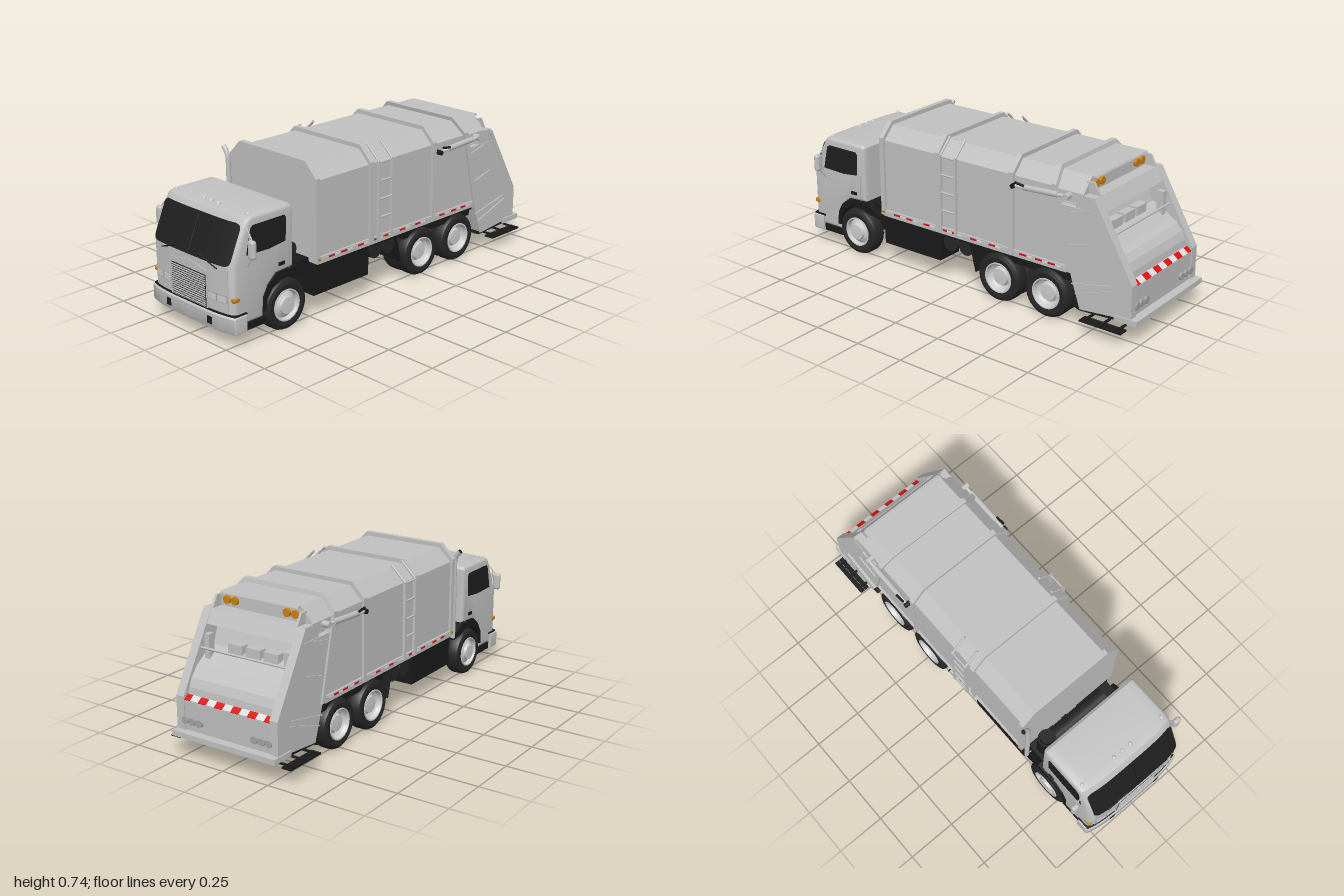
import * as THREE from 'three';
import { toCreasedNormals } from 'three/addons/utils/BufferGeometryUtils.js';
import { ConvexGeometry } from 'three/addons/geometries/ConvexGeometry.js';
import { RoundedBoxGeometry } from 'three/addons/geometries/RoundedBoxGeometry.js';

const mat = (name, color) => Object.assign(new THREE.MeshStandardMaterial({ color }), { name });

export function createModel() {
  const root = new THREE.Group();
  root.name = 'refuseTruck';
  const paint = mat('greyPaint', 0xc0c0c0), rimMat = mat('rimGrey', 0xcccccc), black = mat('chassisBlack', 0x1a1a1a);
  const rubber = mat('tyreRubber', 0x262626), glass = mat('darkGlass', 0x1f1f1f), red = mat('red', 0xdd1111);
  const white = mat('white', 0xdedede), amber = mat('amber', 0xc9800f), trim = mat('trimGrey', 0xa2a2a2);
  glass.side = THREE.DoubleSide;

  const add = (name, geo, material, parent = root) => {
    const m = new THREE.Mesh(geo, material);
    m.name = name;
    parent.add(m);
    return m;
  };
  const shapeOf = pts => new THREE.Shape(pts.map(p => new THREE.Vector2(...p)));
  // moves vertices by a rule
  const warp = (geo, rule) => {
    const p = geo.attributes.position, v = new THREE.Vector3();
    for (let i = 0; i < p.count; i++) {
      rule(v.fromBufferAttribute(p, i));
      p.setXYZ(i, v.x, v.y, v.z);
    }
    geo.computeVertexNormals();
    return geo;
  };
  // rounds the nose of the cab back towards its corners
  const bow = geo => warp(geo, v => { v.z -= 3.5 * v.x ** 4 * THREE.MathUtils.clamp((v.z - 0.8) / 0.1, 0, 1); });
  const boxGeo = (x, y, z, w, h, d, seg = 1) => new THREE.BoxGeometry(w, h, d, seg).translate(x, y, z);
  const box = (name, x, y, z, w, h, d, m) => add(name, boxGeo(x, y, z, w, h, d), m);
  const noseBox = (name, x, y, z, w, h, d, m) => add(name, bow(boxGeo(x, y, z, w, h, d, 14)), m);
  // extrudes a (z, y) outline across x
  const sideGeo = (pts, width, x = 0, bevel = 0, steps = 1) => {
    const depth = width - 2 * bevel;
    return new THREE.ExtrudeGeometry(shapeOf(pts), {
      depth, steps, bevelEnabled: bevel > 0, bevelSize: bevel, bevelThickness: bevel, bevelOffset: -bevel, bevelSegments: 3,
    }).translate(0, 0, -depth / 2).rotateY(-Math.PI / 2).translate(x, 0, 0);
  };
  const rod = (name, a, b, r, m) => {
    const A = new THREE.Vector3(...a), B = new THREE.Vector3(...b), d = B.clone().sub(A);
    const g = new THREE.CylinderGeometry(r, r, d.length(), r > 0.015 ? 24 : 10);
    g.applyQuaternion(new THREE.Quaternion().setFromUnitVectors(new THREE.Vector3(0, 1, 0), d.normalize()));
    return add(name, g.translate(...A.add(B).multiplyScalar(0.5).toArray()), m);
  };
  // convex block from (x, y, z) corners mirrored left and right
  const hull = (name, pts) => add(name, new ConvexGeometry(
    pts.flatMap(([x, y, z]) => [new THREE.Vector3(x, y, z), new THREE.Vector3(-x, y, z)])), paint);

  // Cargo body with slanted rear end
  const section = (hw, top, rw, sh, y0) => shapeOf([[-hw, y0], [hw, y0], [hw, sh], [rw, top], [-rw, top], [-hw, sh]]);
  const slant = y => -0.535 - (0.72 - y) * 0.235;
  const bodyGeo = new THREE.ExtrudeGeometry(section(0.28, 0.72, 0.215, 0.655, 0.27), { depth: 1, bevelEnabled: false });
  add('cargoBody', warp(bodyGeo, v => { v.z = v.z > 0.5 ? 0.48 : slant(v.y); }), paint);
  const ribGeo = () => new THREE.ExtrudeGeometry(section(0.292, 0.74, 0.222, 0.668, 0.265), { depth: 0.026, bevelEnabled: false });
  for (const z of [0.465, 0.115, -0.325]) add('bodyRib', ribGeo().translate(0, 0, z), paint);
  add('rearRib', warp(ribGeo(), v => { v.z += slant(v.y) - 0.013; }), paint);
  box('sill', 0, 0.27, -0.07, 0.574, 0.024, 1.1, paint);
  box('sillLedge', 0, 0.289, -0.07, 0.582, 0.006, 1.1, paint);

  // Tailgate: chamfered head with lamp recess, hopper and packer
  hull('tailgateHead', [[0.215, 0.72, -0.54], [0.215, 0.72, -0.7], [0.28, 0.65, -0.55], [0.28, 0.65, -0.7],
    [0.28, 0.6, -0.56], [0.28, 0.6, -0.7]]);
  hull('roofLip', [[0.215, 0.72, -0.69], [0.215, 0.72, -0.717], [0.215, 0.712, -0.69], [0.215, 0.712, -0.721]]);
  hull('rearPanel', [[0.28, 0.645, -0.66], [0.28, 0.645, -0.757], [0.28, 0.58, -0.66], [0.28, 0.58, -0.794]]);
  add('hopper', sideGeo([[-0.64, 0.26], [-0.695, 0.1], [-0.958, 0.12], [-0.962, 0.268], [-0.935, 0.288], [-0.66, 0.288]], 0.52), paint);
  add('packerPanel', sideGeo([[-0.58, 0.585], [-0.69, 0.585], [-0.735, 0.465], [-0.775, 0.455], [-0.845, 0.405], [-0.88, 0.39],
    [-0.908, 0.36], [-0.925, 0.32], [-0.93, 0.28], [-0.64, 0.28]], 0.51), paint);
  add('tailgateFloor', sideGeo([[-0.66, 0.1], [-0.69, 0.088], [-0.99, 0.104], [-0.96, 0.124]], 0.56), black);
  rod('packerBar', [-0.25, 0.48, -0.835], [0.25, 0.48, -0.835], 0.006, paint);
  for (const x of [-0.1, 0, 0.1]) box('packerBlock', x, 0.475, -0.75, 0.08, 0.05, 0.04, paint);
  box('rearBumper', 0, 0.114, -0.94, 0.58, 0.026, 0.12, paint);
  for (let i = 0; i < 11; i++) {
    const stripe = add('rearStripe', new THREE.BoxGeometry(0.046, 0.032, 0.005), i % 2 ? white : red);
    stripe.position.set((i - 5) * 0.046, 0.28, -0.949);
    stripe.rotation.x = 0.93;
  }

  // Wheels: tyre and rim turned about the axle
  const turned = (pts, s, x, z) => new THREE.LatheGeometry(pts.map(p => new THREE.Vector2(...p)), 36)
    .rotateZ(-s * Math.PI / 2).translate(s * x, 0.12, z);
  const wheel = (s, x, z, dish) => {
    const g = new THREE.Group();
    g.name = 'wheel';
    root.add(g);
    add('tyre', toCreasedNormals(turned([[0.001, -0.03], [0.07, -0.034], [0.1, -0.041], [0.115, -0.034], [0.121, -0.022],
      [0.121, 0.022], [0.115, 0.034], [0.1, 0.041], [0.074, 0.036]], s, x, z), 0.6), rubber, g);
    add('rim', toCreasedNormals(turned([[0.076, 0.034], [0.076, 0.041], [0.07, 0.041], [0.064, 0.02], [0.05, dish],
      [0.043, dish + 0.004], [0.04, dish + 0.016], [0.001, dish + 0.018]], s, x, z), 0.5), rimMat, g);
  };

  // Cab shell with front arch and black floor
  const cab = [[0.615, 0.29], [0.615, 0.575], [0.63, 0.588], [0.86, 0.588], [0.893, 0.579], [0.91, 0.556], [0.985, 0.385],
    [0.985, 0.1], [0.8, 0.1], [0.79, 0.19], [0.765, 0.24], [0.72, 0.28]];
  add('cab', toCreasedNormals(bow(sideGeo(cab, 0.552, 0, 0.02, 14)), 0.55), paint);
  noseBox('cabFloor', 0, 0.085, 0.88, 0.55, 0.035, 0.19, black);
  box('cabBelly', 0, 0.17, 0.66, 0.36, 0.1, 0.28, black);
  // Windscreen with rounded corners, laid on the slope
  const screen = warp(new THREE.PlaneGeometry(2, 1, 24, 28), v => {
    const t = v.y + 0.5, r = 0.14, e = Math.max(0, Math.abs(v.y) - 0.5 + r);
    v.set(v.x * (0.26 - 0.026 * (1 - Math.sqrt(Math.max(0, 1 - (e / r) ** 2)))), 0.379 + t * 0.18, 0.9935 - t * 0.0785);
  });
  add('windscreen', bow(screen), glass);
  rod('screenDivider', [0, 0.383, 0.993], [0, 0.556, 0.917], 0.0025, black);
  // Nose panel, grille and bumper
  noseBox('nosePanel', 0, 0.267, 0.986, 0.49, 0.216, 0.006, paint);
  const surround = new THREE.ExtrudeGeometry(shapeOf([[-0.125, 0.157], [0.125, 0.157], [0.125, 0.333], [0, 0.356], [-0.125, 0.333]]),
    { depth: 0.008, bevelEnabled: false }).translate(0, 0, 0.985);
  add('grilleSurround', surround, paint);
  box('grilleBack', 0, 0.236, 0.991, 0.236, 0.152, 0.006, black);
  for (let i = 0; i < 14; i++) box('grilleSlat', 0, 0.167 + i * 0.0106, 0.994, 0.23, 0.0056, 0.006, paint);
  noseBox('bumperGap', 0, 0.153, 0.958, 0.565, 0.008, 0.07, black);
  add('frontBumper', toCreasedNormals(bow(sideGeo([[0.93, 0.07], [0.995, 0.07], [1, 0.08], [1, 0.143], [0.993, 0.15], [0.93, 0.15]],
    0.58, 0, 0.006, 14)), 0.5), paint);
  for (const x of [-0.245, -0.05, 0, 0.05, 0.245]) {
    add('roofLamp', new THREE.SphereGeometry(0.01, 12, 8).translate(x, 0.588, 0.85), rimMat);
  }

  // Everything mirrored left and right
  for (const s of [-1, 1]) {
    wheel(s, 0.247, 0.67, 0.03);
    for (const z of [-0.235, -0.51]) {
      wheel(s, 0.247, z, 0.008);
      wheel(s, 0.163, z, 0);
    }
    // Cab fittings
    add('sideWindow', sideGeo([[0.665, 0.425], [0.66, 0.535], [0.67, 0.547], [0.852, 0.547], [0.866, 0.535], [0.893, 0.418], [0.76, 0.414]],
      0.008, s * 0.274), glass);
    box('doorHandle', s * 0.277, 0.325, 0.69, 0.008, 0.016, 0.035, black);
    box('doorSeam', s * 0.275, 0.35, 0.645, 0.004, 0.15, 0.003, trim);
    rod('wiper', [s * 0.19, 0.36, 0.988], [s * 0.07, 0.4, 0.992], 0.003, black);
    for (const x of [0.156, 0.216]) {
      noseBox('headlampBezel', s * x, 0.225, 0.9885, 0.054, 0.035, 0.007, trim);
      noseBox('headlamp', s * x, 0.225, 0.991, 0.047, 0.028, 0.007, rimMat);
    }
    add('turnSignal', new RoundedBoxGeometry(0.022, 0.021, 0.036, 2, 0.006).translate(s * 0.268, 0.225, 0.953), amber);
    noseBox('towHole', s * 0.143, 0.109, 0.999, 0.03, 0.035, 0.006, black);
    add('mirror', new RoundedBoxGeometry(0.039, 0.087, 0.028, 4, 0.013).translate(s * 0.319, 0.456, 0.895), paint);
    rod('mirrorArm', [s * 0.27, 0.545, 0.885], [s * 0.315, 0.495, 0.89], 0.003, paint);
    rod('mirrorArm', [s * 0.27, 0.36, 0.885], [s * 0.315, 0.42, 0.89], 0.003, paint);
    rod('mirrorStay', [s * 0.296, 0.52, 0.887], [s * 0.296, 0.39, 0.887], 0.003, paint);
    add('frontFender', sideGeo([[0.805, 0.13], [0.8, 0.2], [0.77, 0.25], [0.72, 0.29], [0.6, 0.292], [0.52, 0.24], [0.52, 0.225],
      [0.58, 0.235], [0.63, 0.252], [0.7, 0.252], [0.75, 0.228], [0.785, 0.18], [0.79, 0.13]], 0.126, s * 0.22), black);

    // Ladder
    for (const z of [0.006, 0.096]) {
      box('ladderRail', s * 0.302, 0.473, z, 0.014, 0.386, 0.012, paint);
      rod('ladderTop', [s * 0.302, 0.665, z], [s * 0.225, 0.738, z], 0.006, paint);
    }
    for (let i = 0; i < 5; i++) rod('ladderRung', [s * 0.302, 0.3 + i * 0.09, 0], [s * 0.302, 0.3 + i * 0.09, 0.1], 0.005, paint);

    // Reflectors under the sill ledge
    for (const z of [0.39, 0.31, 0.2, 0.09, 0.03, -0.09, -0.2, -0.38, -0.47, -0.54]) {
      box('redReflector', s * 0.287, 0.28, z, 0.006, 0.009, 0.038, red);
      box('whiteReflector', s * 0.287, 0.28, z - 0.036, 0.006, 0.009, 0.03, white);
    }
    box('sideMarker', s * 0.293, 0.283, 0.475, 0.008, 0.012, 0.014, amber);

    // Tailgate lift cylinder
    rod('liftCylinder', [s * 0.302, 0.62, -0.39], [s * 0.302, 0.63, -0.58], 0.014, paint);
    rod('liftPiston', [s * 0.302, 0.615, -0.33], [s * 0.302, 0.632, -0.63], 0.008, rimMat);
    rod('hoseFitting', [s * 0.285, 0.615, -0.335], [s * 0.316, 0.615, -0.335], 0.012, black);
    rod('hoseFitting', [s * 0.312, 0.637, -0.35], [s * 0.312, 0.63, -0.4], 0.006, black);
    rod('liftPin', [s * 0.27, 0.632, -0.625], [s * 0.316, 0.632, -0.625], 0.015, paint);

    // Tailgate wall, lamp cheek, edge post, gussets and lamps
    add('tailgateWall', sideGeo([[-0.565, 0.58], [-0.794, 0.58], [-0.962, 0.285], [-0.962, 0.12], [-0.695, 0.095], [-0.64, 0.26]],
      0.03, s * 0.268), paint);
    add('lampCheek', sideGeo([[-0.69, 0.7], [-0.728, 0.7], [-0.757, 0.648], [-0.757, 0.64], [-0.69, 0.64]], 0.012, s * 0.235), paint);
    add('tailgatePost', sideGeo([[-0.762, 0.64], [-0.966, 0.285], [-0.966, 0.12], [-0.945, 0.12], [-0.945, 0.28], [-0.745, 0.63]],
      0.044, s * 0.262), paint);
    for (const [z0, y0, z1, y1] of [[-0.6, 0.552, -0.7, 0.575], [-0.625, 0.395, -0.75, 0.428], [-0.65, 0.215, -0.87, 0.262], [-0.67, 0.172, -0.88, 0.24]]) {
      add('gusset', sideGeo([[z0, y0], [z1, y1], [z1, y1 - 0.005], [z0, y0 - 0.005]], 0.01, s * 0.284), paint);
    }
    box('packerArm', s * 0.222, 0.46, -0.8, 0.026, 0.16, 0.035, paint);
    for (const x of [0.145, 0.19]) rod('rearWarningLamp', [s * x, 0.679, -0.69], [s * x, 0.679, -0.713], 0.019, amber);
    for (const x of [0.155, 0.195, 0.235]) rod('tailLamp', [s * x, 0.175, -0.95], [s * x, 0.175, -0.972], 0.018, trim);
    // Riding step
    for (const x of [0.3, 0.327]) box('stepBoard', s * x, 0.072, -0.84, 0.024, 0.008, 0.22, black);
    for (const z of [-0.755, -0.84, -0.925]) box('stepBracket', s * 0.295, 0.079, z, 0.08, 0.007, 0.012, black);

    // Chassis rail, side box, air tanks, mud flap
    box('chassisRail', s * 0.1, 0.2, 0.12, 0.03, 0.07, 1.6, black);
    box('sideTankBox', s * 0.2, 0.178, 0.31, 0.14, 0.15, 0.36, black);
    for (const z of [0.072, -0.022]) rod('airTank', [s * 0.13, 0.21, z], [s * 0.262, 0.21, z], 0.042, rubber);
    const flap = box('mudFlap', 0, 0, 0, 0.15, 0.15, 0.006, black);
    flap.position.set(s * 0.2, 0.18, -0.075);
    flap.rotation.x = 0.25;
    box('rearFender', s * 0.2, 0.235, -0.37, 0.13, 0.05, 0.5, black);
  }

  // Shared underbody
  box('subframe', 0, 0.248, -0.08, 0.53, 0.024, 1.12, black);
  for (const z of [0.67, -0.235, -0.51]) {
    rod('axle', [-0.21, 0.12, z], [0.21, 0.12, z], 0.02, black);
    if (z < 0) add('differential', new THREE.SphereGeometry(0.055, 16, 12).translate(0, 0.125, z), black);
  }
  rod('driveShaft', [0, 0.17, 0.5], [0, 0.13, -0.5], 0.015, black);
  for (const z of [0.45, 0.1, -0.1, -0.37, -0.62]) box('crossMember', 0, 0.2, z, 0.2, 0.05, 0.03, black);

  // Air intake and exhaust behind the cab
  rod('airCleaner', [-0.18, 0.32, 0.55], [0.18, 0.32, 0.55], 0.04, rubber);
  rod('intakeCanister', [-0.19, 0.26, 0.555], [-0.19, 0.43, 0.555], 0.045, black);
  rod('intakeCap', [-0.19, 0.43, 0.555], [-0.19, 0.465, 0.555], 0.036, black);
  box('engineCover', 0, 0.265, 0.55, 0.5, 0.05, 0.1, black);
  const stackPath = new THREE.CatmullRomCurve3([[0.278, 0.24], [0.278, 0.45], [0.278, 0.62], [0.28, 0.66], [0.292, 0.685], [0.309, 0.703]]
    .map(([x, y]) => new THREE.Vector3(-x, y, 0.515)));
  add('exhaustStack', new THREE.TubeGeometry(stackPath, 30, 0.012, 14), paint);
  rod('stackMouth', [-0.303, 0.697, 0.515], [-0.309, 0.703, 0.515], 0.0118, black);
  return root;
}
